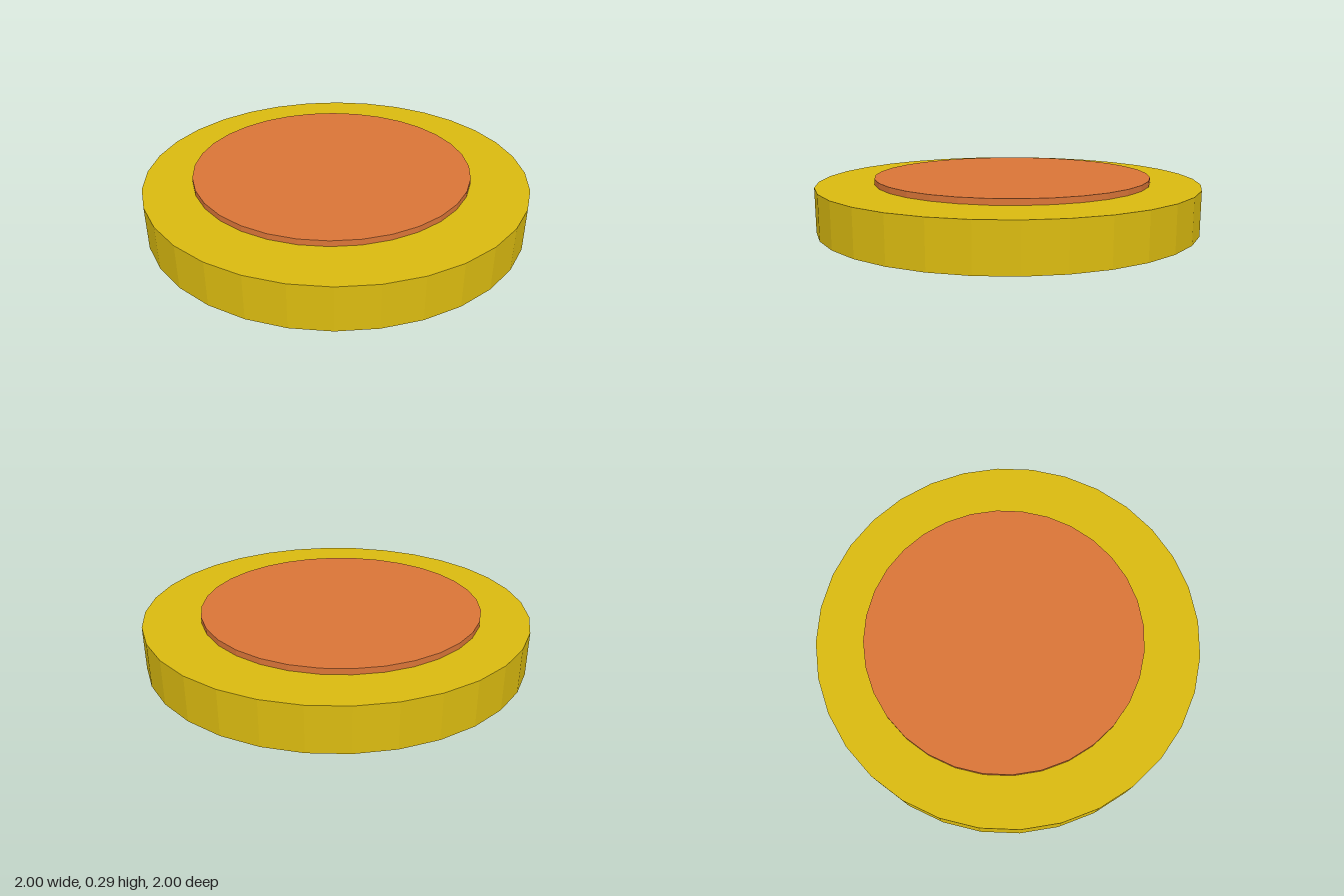
import * as THREE from 'three';

const SIDES = 32;

// Faceted upright disc spanning y0..y1
function disc(name, radius, y0, y1, x, z, material) {
  const geometry = new THREE.CylinderGeometry(radius, radius, y1 - y0, SIDES).toNonIndexed();
  geometry.computeVertexNormals();
  const mesh = new THREE.Mesh(geometry, material);
  mesh.name = name;
  mesh.position.set(x, (y0 + y1) / 2, z);
  return mesh;
}

export function createModel() {
  const gold = new THREE.MeshStandardMaterial({ color: 0xdcbc10, flatShading: true });
  gold.name = 'gold';
  const copper = new THREE.MeshStandardMaterial({ color: 0xdc7638, flatShading: true });
  copper.name = 'copper';

  const model = new THREE.Group();
  model.name = 'coin';
  // Wide outer body
  model.add(disc('outerDisc', 1, 0.03, 0.26, 0, 0, gold));
  // Slightly off-centre core, standing proud on both faces
  model.add(disc('innerCore', 0.727, 0, 0.29, -0.014, -0.025, copper));
  return model;
}
